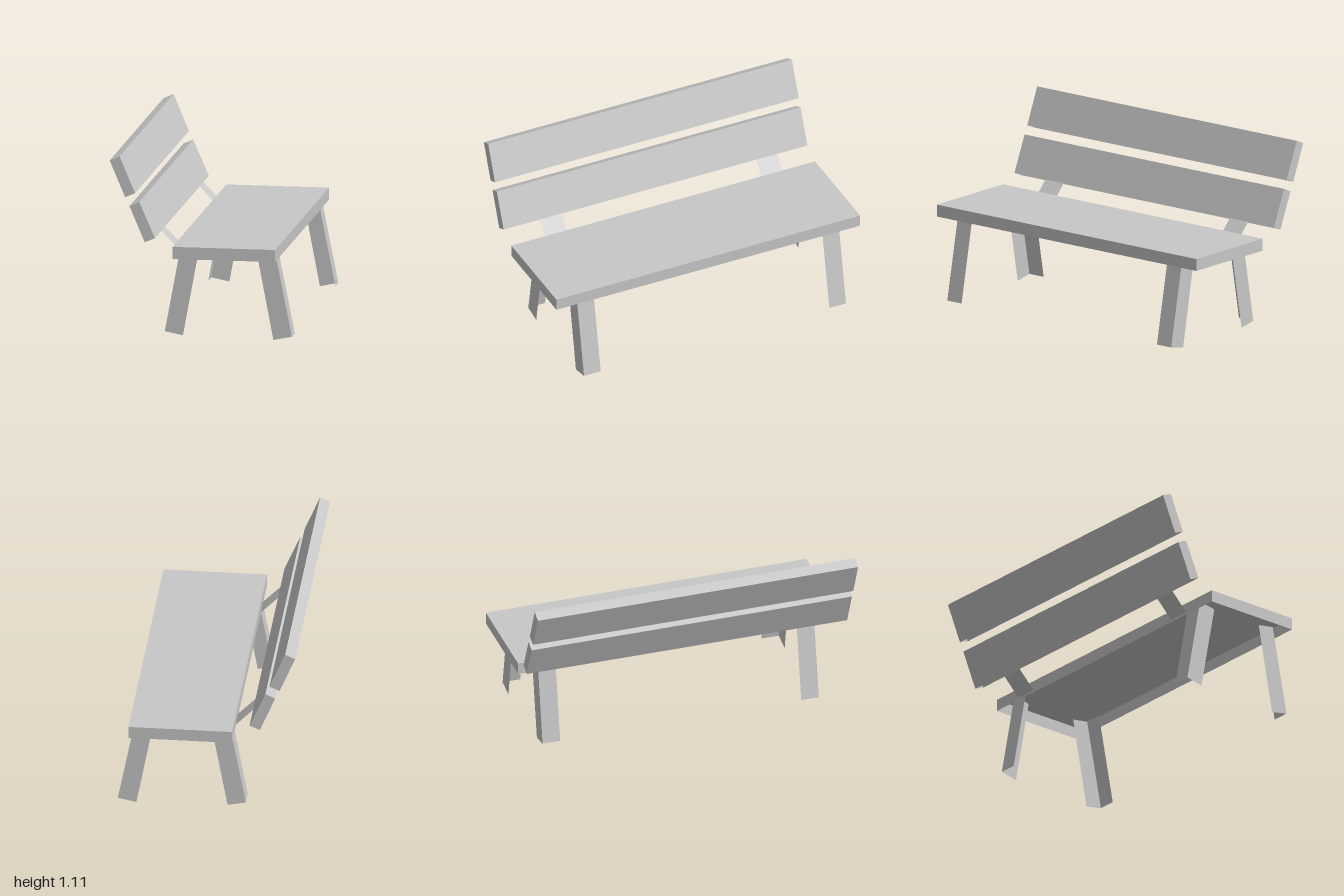
import * as THREE from 'three';

export function createModel() {
  const bench = new THREE.Group();
  bench.name = 'bench';
  const grey = new THREE.MeshStandardMaterial({ color: 0xc7c7c7 });
  grey.name = 'plain grey';
  grey.side = THREE.DoubleSide;

  // Open shell: a four-cornered profile (counter-clockwise x, y) between two depths.
  // sides lists the profile edges that get a face; edge 0 is the underside.
  function shell(name, profile, z0, z1, sides, ends) {
    const positions = [];
    const quad = (a, b, c, d) => positions.push(...a, ...b, ...c, ...a, ...c, ...d);
    const near = profile.map(([x, y]) => [x, y, z1]);
    const far = profile.map(([x, y]) => [x, y, z0]);
    for (const i of sides) {
      const j = (i + 1) % 4;
      quad(near[i], far[i], far[j], near[j]);
    }
    if (ends.includes('near')) quad(...near);
    if (ends.includes('far')) quad(...far.reverse());
    const geometry = new THREE.BufferGeometry();
    geometry.setAttribute('position', new THREE.Float32BufferAttribute(positions, 3));
    geometry.computeVertexNormals();
    const mesh = new THREE.Mesh(geometry, grey);
    mesh.name = name;
    bench.add(mesh);
  }

  // Seat and leaning backrest boards, all without an underside
  const boards = {
    seat: [[-0.159, 0.499], [0.459, 0.499], [0.459, 0.572], [-0.159, 0.572]],
    upperBackSlat: [[-0.443, 0.864], [-0.383, 0.889], [-0.476, 1.109], [-0.536, 1.083]],
    lowerBackSlat: [[-0.325, 0.595], [-0.264, 0.621], [-0.358, 0.838], [-0.417, 0.811]],
  };
  for (const [name, profile] of Object.entries(boards)) {
    shell(name, profile, -1, 1, [1, 2, 3], ['near', 'far']);
  }

  // Splayed legs: only the two outward faces and the top cap inside the seat
  const rearLeg = [[-0.228, 0.033], [-0.119, 0.012], [-0.021, 0.54], [-0.13, 0.56]];
  const frontLeg = [[0.425, 0], [0.536, 0.023], [0.43, 0.558], [0.322, 0.54]];
  for (const [z0, z1, end] of [[0.745, 0.855, 'near'], [-0.87, -0.76, 'far']]) {
    shell('rearLeg', rearLeg, z0, z1, [2, 3], [end]);
    shell('frontLeg', frontLeg, z0, z1, [1, 2], [end]);
  }

  // Flat sheet brackets joining the backrest to the seat
  const top = new THREE.Vector2(-0.264, 0.621);
  const bottom = new THREE.Vector2(-0.159, 0.515);
  for (const z of [0.69, -0.73]) {
    const bracket = new THREE.Mesh(new THREE.PlaneGeometry(0.14, top.distanceTo(bottom)), grey);
    bracket.name = 'backBracket';
    bracket.rotation.order = 'YXZ';
    bracket.rotation.y = Math.PI / 2;
    bracket.rotation.x = -Math.atan2(bottom.x - top.x, top.y - bottom.y);
    bracket.position.set((top.x + bottom.x) / 2, (top.y + bottom.y) / 2, z);
    bench.add(bracket);
  }

  return bench;
}
